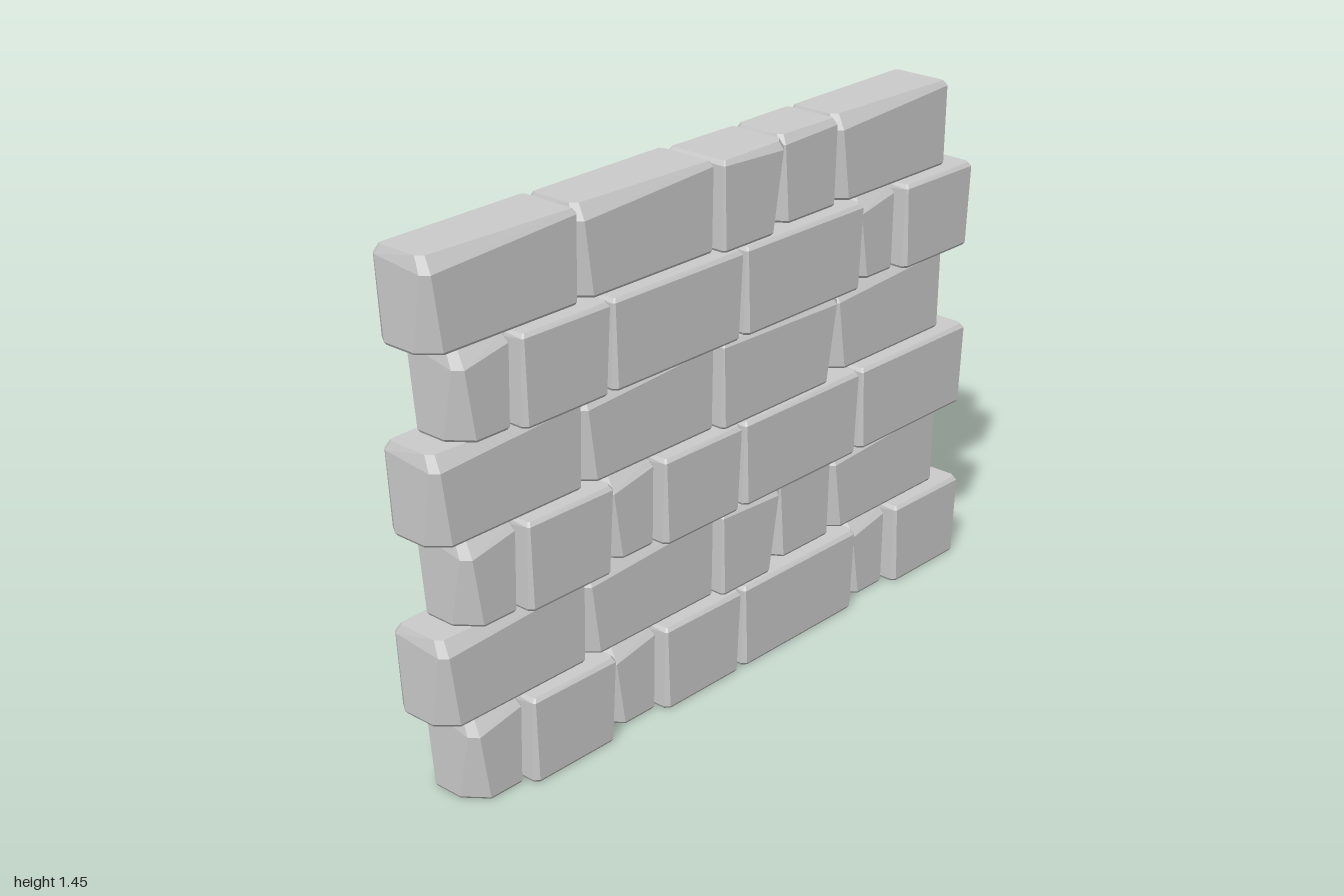
import * as THREE from 'three';
import { ConvexGeometry } from 'three/addons/geometries/ConvexGeometry.js';

const ROW = 0.242;
const material = new THREE.MeshStandardMaterial({ color: 0xcccccc, flatShading: true });

// Cut corners as [width, depth] at the foot, they narrow towards the top.
// front / back: z of the two faces; drop: how far the top edge is bevelled
// at front-left, front-right, back-right, back-left (as seen from the front).
const KINDS = {
  stretcher: { back: -0.097, front: 0.084, fl: [0.045, 0.05], fr: [0.008, 0.008], br: [0.02, 0.03], bl: [0.02, 0.03], drop: [0.04, 0.015, 0.012, 0.025] },
  proud: { back: -0.084, front: 0.112, fl: [0.008, 0.008], fr: [0.062, 0.05], br: [0.02, 0.02], bl: [0.02, 0.02], drop: [0.012, 0.022, 0.015, 0.012] },
  header: { back: -0.092, front: 0.084, fl: [0.025, 0.04], fr: [0.012, 0.015], br: [0.02, 0.03], bl: [0.04, 0.04], drop: [0.025, 0.018, 0.012, 0.02] },
  block: { back: -0.122, front: 0.124, fl: [0.012, 0.012], fr: [0.024, 0.035], br: [0.03, 0.028], bl: [0.06, 0.045], drop: [0.01, 0.012, 0.012, 0.04] },
  filler: { back: -0.1, front: 0.09, fl: [0.048, 0.06], fr: [0.008, 0.01], br: [0.035, 0.04], bl: [0.04, 0.04], drop: [0.05, 0.022, 0.015, 0.02] },
};

// Convex stone: octagonal foot, shoulder with a sloping rim, inset top
function stoneGeometry(x0, x1, y0, k) {
  const points = [];
  const y1 = y0 + ROW - 0.001;
  const corners = [
    [x0, k.front, 1, -1, k.fl], [x1, k.front, -1, -1, k.fr],
    [x1, k.back, -1, 1, k.br], [x0, k.back, 1, 1, k.bl],
  ];
  corners.forEach(([x, z, sx, sz, [w, d]], i) => {
    const drop = k.drop[i];
    const cut = (y, scale, inX, inZ) => {
      const px = x + sx * inX, pz = z + sz * inZ;
      points.push(new THREE.Vector3(px + sx * w * scale, y, pz));
      points.push(new THREE.Vector3(px, y, pz + sz * d * scale));
    };
    cut(y0 + 0.001, 1, 0.004, 0.004);
    cut(y0 + 0.008, 1, 0, 0);
    cut(y1 - drop, 0.4, 0, 0);
    cut(y1, 0.35, 0.008, Math.max(0.008, drop * 0.6));
  });
  return new ConvexGeometry(points);
}

// Courses made of [left x, right x, kind]
const A = [[-1, -0.522, 'stretcher'], [-0.517, -0.042, 'stretcher']];
const LAST = [0.45, 0.92, 'stretcher'];
const shortCourse = [...A, [-0.035, 0.215, 'proud'], [0.222, 0.445, 'header'], LAST];
const longCourse = [...A, [-0.035, 0.445, 'proud'], LAST];
const START = [[-0.92, -0.758, 'filler'], [-0.748, -0.45, 'block']];
const MIDDLE = [[-0.44, -0.275, 'filler'], [-0.268, 0.032, 'block']];
const LONG = [0.04, 0.518, 'block'];
const END = [[0.528, 0.688, 'filler'], [0.7, 1, 'block']];

const COURSES = [
  [...START, ...MIDDLE, LONG, ...END],
  shortCourse,
  [...START, ...MIDDLE, LONG, [0.526, 1, 'block']],
  longCourse,
  [...START, [-0.445, 0.032, 'block'], LONG, ...END],
  shortCourse,
];

export function createModel() {
  const wall = new THREE.Group();
  wall.name = 'stoneWall';
  COURSES.forEach((stones, row) => {
    const course = new THREE.Group();
    course.name = `course${row + 1}`;
    stones.forEach(([x0, x1, kind], i) => {
      const mesh = new THREE.Mesh(stoneGeometry(x0, x1, row * ROW, KINDS[kind]), material);
      mesh.name = `${kind}Stone${i + 1}`;
      course.add(mesh);
    });
    wall.add(course);
  });
  return wall;
}
